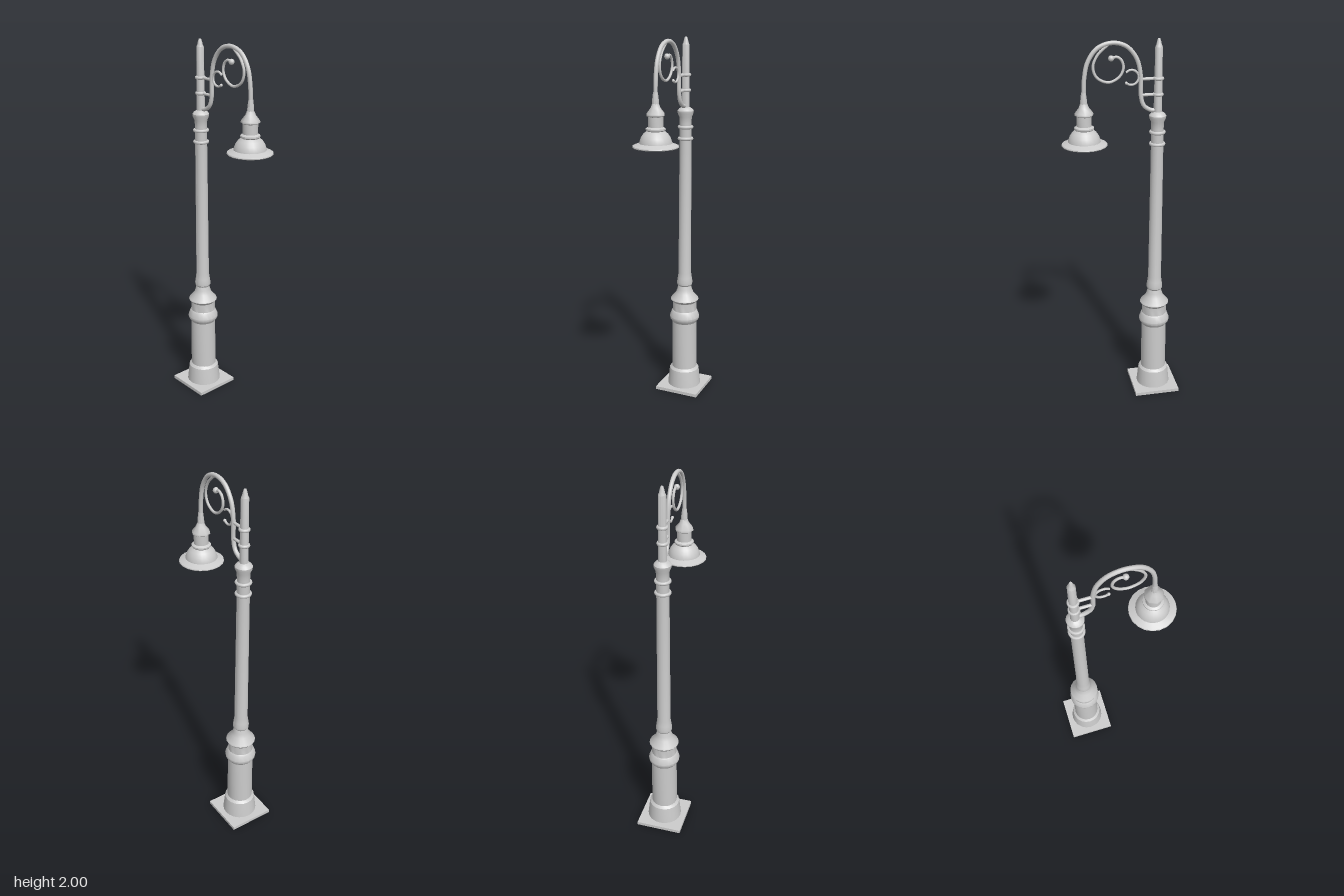
import * as THREE from 'three';
import { toCreasedNormals } from 'three/addons/utils/BufferGeometryUtils.js';

const material = new THREE.MeshStandardMaterial({ color: 0xcccccc, side: THREE.DoubleSide });
const POLE_Z = -0.185, LAMP_Z = 0.192;

function add(group, name, geometry, z = 0) {
  const mesh = new THREE.Mesh(geometry, material);
  mesh.name = name;
  mesh.position.z = z;
  group.add(mesh);
  return mesh;
}

// Turned part from [radius, height] pairs, listed bottom to top
function turned(profile, sides, crease = 0.5) {
  const points = profile.map(([r, y]) => new THREE.Vector2(r, y));
  return toCreasedNormals(new THREE.LatheGeometry(points, sides), crease);
}

// Bent rod in the x = 0 plane from [z, y] pairs
function rod(path, radius, segments = 48, sides = 10) {
  const curve = new THREE.CatmullRomCurve3(path.map(([z, y]) => new THREE.Vector3(0, y, z)), false, 'centripetal');
  return new THREE.TubeGeometry(curve, segments, radius, sides);
}

function ball(group, name, z, y, r) {
  add(group, name, new THREE.SphereGeometry(r, 12, 8), z).position.y = y;
}

export function createModel() {
  const model = new THREE.Group();
  model.name = 'streetLamp';

  // Square foot with a round opening under the hollow post
  const square = new THREE.Shape([[-1, -1], [1, -1], [1, 1], [-1, 1]].map(([x, y]) => new THREE.Vector2(x * 0.126, y * 0.126)));
  square.holes.push(new THREE.Path().absarc(0, 0, 0.09, 0, Math.PI * 2, true));
  const foot = new THREE.ExtrudeGeometry(square, { depth: 0.018, bevelEnabled: false, curveSegments: 10 });
  foot.rotateX(-Math.PI / 2);
  add(model, 'footPlate', foot, POLE_Z);

  // Pedestal with its mouldings
  add(model, 'pedestal', turned([
    [0.095, 0.016], [0.086, 0.1], [0.084, 0.115], [0.071, 0.128], [0.069, 0.408],
    [0.083, 0.428], [0.085, 0.442], [0.073, 0.474], [0.068, 0.48], [0.068, 0.53],
    [0.08, 0.545], [0.077, 0.552], [0.05, 0.582], [0.042, 0.605], [0.036, 0.63]
  ], 20), POLE_Z);

  // Main shaft, collar and shoulder
  add(model, 'shaft', turned([
    [0.036, 0.625], [0.043, 0.635], [0.044, 0.65], [0.04, 0.675], [0.036, 0.705],
    [0.032, 1.55], [0.034, 1.585], [0.043, 1.605], [0.044, 1.617], [0.036, 1.628], [0.02, 1.638]
  ], 18), POLE_Z);

  // Slim upper post with its finial
  add(model, 'upperPost', turned([
    [0.022, 1.63], [0.019, 1.96], [0.014, 1.97], [0.011, 1.985], [0.006, 2], [0, 2]
  ], 14), POLE_Z);

  // Rings on both sections of the post
  for (const [y, r, t] of [[1.468, 0.034, 0.009], [1.53, 0.034, 0.009], [1.725, 0.02, 0.009], [1.805, 0.02, 0.009]]) {
    const ring = new THREE.TorusGeometry(r, t, 8, 18);
    ring.rotateX(Math.PI / 2).translate(0, y, 0);
    add(model, 'postRing', ring, POLE_Z);
  }

  // Curved arm and the two bars that tie it to the post
  add(model, 'arm', rod([
    [-0.175, 1.643], [-0.145, 1.648], [-0.112, 1.672], [-0.097, 1.72], [-0.095, 1.82], [-0.075, 1.905],
    [-0.025, 1.966], [0.045, 1.986], [0.12, 1.963], [0.168, 1.9], [0.187, 1.82], [LAMP_Z, 1.715]
  ], 0.011, 64), 0);
  for (const y of [1.725, 1.805]) add(model, 'tieBar', rod([[POLE_Z, y], [-0.095, y]], 0.008, 1));

  // Scrollwork
  add(model, 'largeScroll', rod([
    [0.065, 1.98], [0.12, 1.93], [0.143, 1.873], [0.124, 1.82], [0.066, 1.795],
    [0.013, 1.82], [-0.008, 1.862], [0.002, 1.902], [0.028, 1.918], [0.05, 1.91]
  ], 0.007, 56, 8));
  ball(model, 'largeScrollEnd', 0.053, 1.912, 0.015);
  const smallPath = Array.from({ length: 10 }, (_, i) => {
    const a = 0.75 + i / 9 * 4.7;
    return [-0.048 + 0.037 * Math.cos(a), 1.815 + 0.037 * Math.sin(a)];
  });
  add(model, 'smallScroll', rod(smallPath, 0.006, 32, 8));
  ball(model, 'smallScrollEnd', ...smallPath[9], 0.008);

  // Lamp: socket, eight-sided cap, neck and bell
  add(model, 'lampSocket', turned([[0.018, 1.675], [0.017, 1.71], [0.012, 1.75]], 12), LAMP_Z);
  add(model, 'lampCap', turned([
    [0.036, 1.63], [0.048, 1.638], [0.047, 1.648], [0.026, 1.675], [0.018, 1.695], [0, 1.697]
  ], 8, 0.9), LAMP_Z);
  add(model, 'lampNeck', turned([
    [0.044, 1.56], [0.05, 1.567], [0.05, 1.575], [0.038, 1.582], [0.038, 1.638]
  ], 16), LAMP_Z);
  add(model, 'lampBell', turned([
    [0.083, 1.497], [0.082, 1.508], [0.074, 1.53], [0.062, 1.548], [0.044, 1.563]
  ], 24), LAMP_Z);

  // Wide brim, with a shallow recess beneath it
  add(model, 'lampBrim', turned([
    [0, 1.496], [0.08, 1.496], [0.084, 1.482], [0.114, 1.48], [0.117, 1.484], [0.115, 1.489], [0.082, 1.502]
  ], 20), LAMP_Z);

  return model;
}
